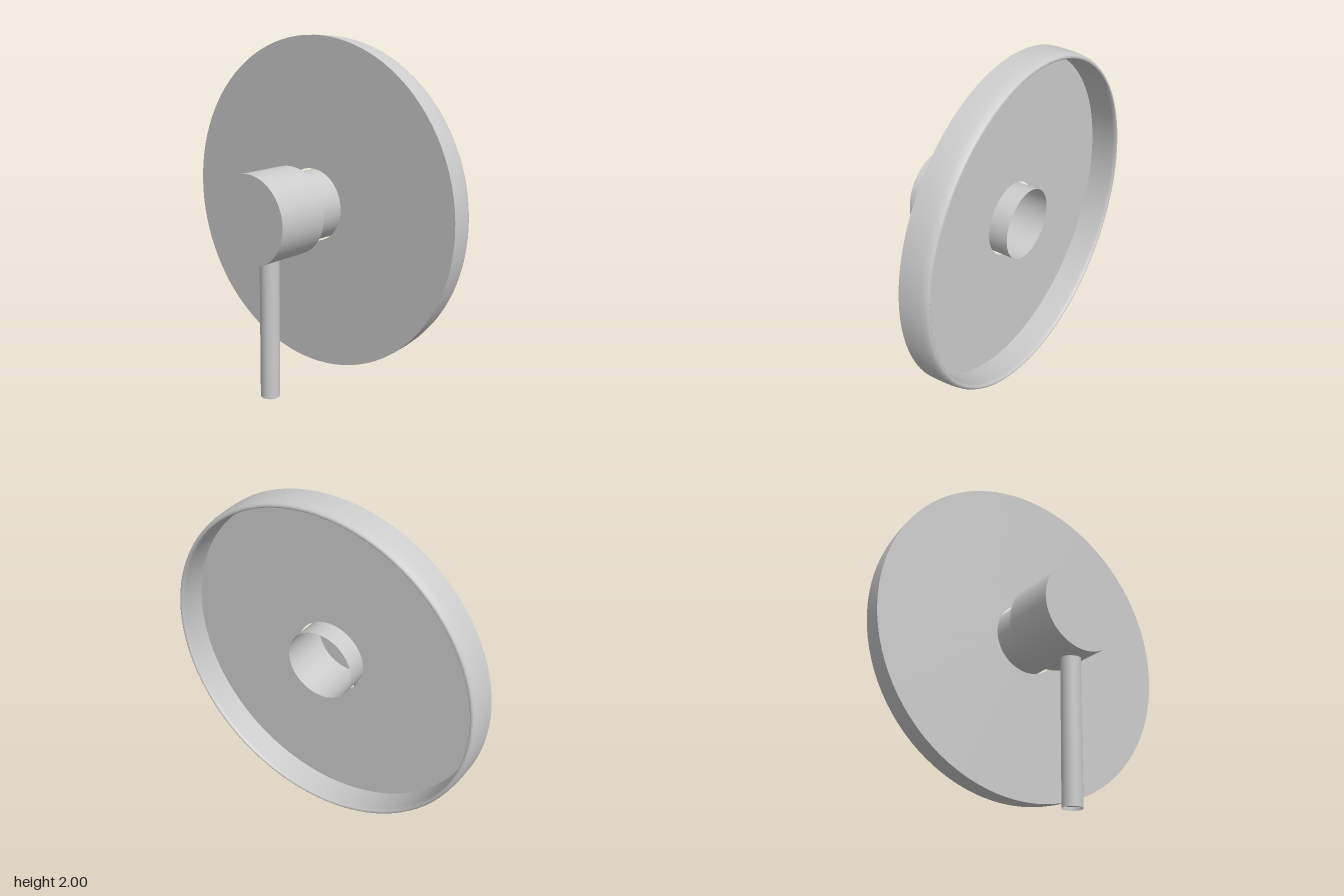
import * as THREE from 'three';

const AXIS_Y = 1.05; // height of the valve axis

export function createModel() {
  const group = new THREE.Group();
  const material = new THREE.MeshStandardMaterial({ color: 0xcccccc, side: THREE.DoubleSide });

  const add = (name, geometry, x = 0, y = 0, z = 0) => {
    const mesh = new THREE.Mesh(geometry, material);
    mesh.name = name;
    mesh.position.set(x, y, z);
    group.add(mesh);
    return mesh;
  };

  // Cylinder along z between two depths
  const barrel = (name, radius, back, front, open) => {
    const geometry = new THREE.CylinderGeometry(radius, radius, front - back, 48, 1, open);
    geometry.rotateX(Math.PI / 2);
    return add(name, geometry, 0, AXIS_Y, (front + back) / 2);
  };

  // Wall plate: thin face with a hole slightly wider than the neck
  add('plateFace', new THREE.RingGeometry(0.21, 0.95, 96), 0, AXIS_Y, -0.17);

  // Plate rim: outer wall, rounded lip and inner wall, as [radius, z]
  const rim = [
    [0.95, -0.17], [0.949, -0.21], [0.947, -0.25], [0.943, -0.29], [0.938, -0.315],
    [0.93, -0.329], [0.92, -0.335], [0.912, -0.329], [0.909, -0.31], [0.91, -0.25], [0.91, -0.17],
  ].map(([r, z]) => new THREE.Vector2(r, z));
  const rimGeometry = new THREE.LatheGeometry(rim.reverse(), 96);
  rimGeometry.rotateX(Math.PI / 2);
  add('plateRim', rimGeometry, 0, AXIS_Y, 0);

  // Open neck passing through the plate, and the round valve body
  barrel('neck', 0.2, -0.275, 0.015, true);
  barrel('valveBody', 0.25, 0.015, 0.338, false);

  // Lever hanging below the body, with a shallow recess in its end
  const leverX = 0.018, leverZ = 0.2, leverRadius = 0.055;
  add('lever', new THREE.CylinderGeometry(leverRadius, leverRadius, 0.82, 32, 1, true), leverX, 0.41, leverZ);
  const end = new THREE.CircleGeometry(leverRadius, 32);
  end.rotateX(Math.PI / 2);
  add('leverEnd', end, leverX, 0.02, leverZ);

  return group;
}
